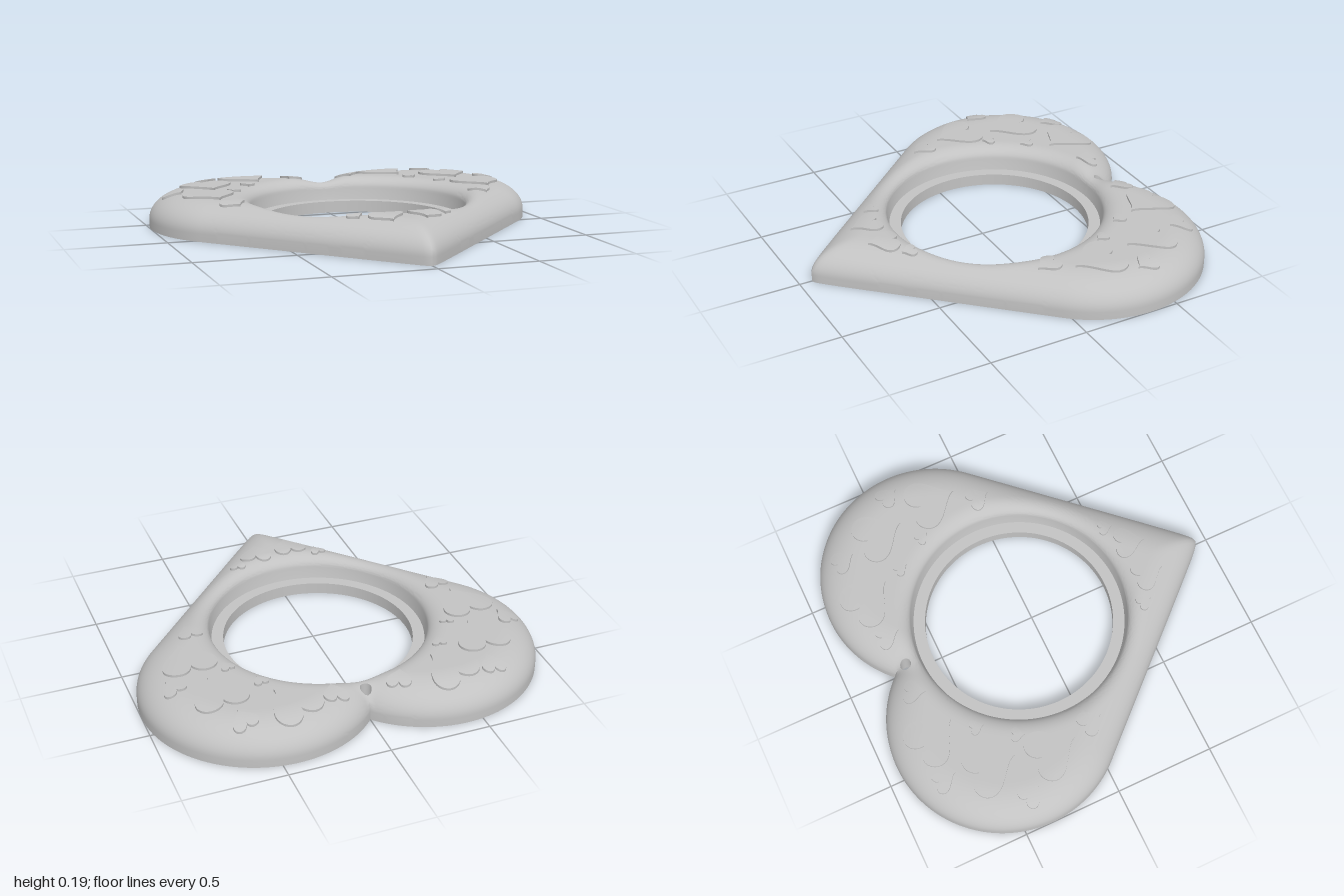
import * as THREE from 'three';
import { toCreasedNormals } from 'three/addons/utils/BufferGeometryUtils.js';

const LOBE = { x: 0.422, z: -0.357, r: 0.578 };       // round lobe of the heart, mirrored in x
const TIP_Z = 0.957;                                  // where the straight sides would meet
const RING = { z: -0.07, inner: 0.475, seat: 0.533, outer: 0.545, ledge: 0.06 };
const EYELET = { z: -0.69, r: 0.028 };
const SEGMENTS = 360, ROWS = 32;

// Straight side: tangent from the tip to the lobe
const tipDX = -LOBE.x, tipDZ = TIP_Z - LOBE.z;
const TANGENT = Math.atan2(tipDZ, tipDX) - Math.acos(LOBE.r / Math.hypot(tipDX, tipDZ));
const NOTCH_Z = LOBE.z - Math.sqrt(LOBE.r ** 2 - LOBE.x ** 2);
const NOTCH = Math.atan2(NOTCH_Z - LOBE.z, -LOBE.x);

// Distance from a point to the heart outline, positive inside
function edgeDistance(px, z) {
  const x = Math.abs(px), soft = Math.hypot(x, 0.02);
  const side = -(soft * Math.cos(TANGENT) + (z - TIP_Z) * Math.sin(TANGENT));
  const a = Math.atan2(z - LOBE.z, x - LOBE.x);
  const round = a >= NOTCH && a <= TANGENT
    ? LOBE.r - Math.hypot(x - LOBE.x, z - LOBE.z)
    : Math.hypot(x, z - NOTCH_Z);
  return Math.min(side, round);
}

// Quarter-round rise from 0 to 1
const puff = t => Math.sqrt(1 - (1 - THREE.MathUtils.clamp(t, 0, 1)) ** 2);

// Puffy top surface, rounded at the outline and towards the ring
function height(x, z) {
  const fromRing = Math.hypot(x, z - RING.z) - RING.outer;
  return 0.04 + 0.137 * puff(edgeDistance(x, z) / 0.2) - 0.06 * (1 - puff(fromRing / 0.09));
}

// Outline radius seen from the centre of the ring
function outlineRadius(a) {
  let lo = 0.5, hi = 1.3;
  for (let i = 0; i < 40; i++) {
    const m = (lo + hi) / 2;
    if (edgeDistance(m * Math.cos(a), RING.z + m * Math.sin(a)) > 0) lo = m; else hi = m;
  }
  return lo;
}

function gridGeometry(positions, index) {
  const g = new THREE.BufferGeometry();
  g.setAttribute('position', new THREE.Float32BufferAttribute(positions, 3));
  g.setIndex(index);
  return g;
}

// Ring seat, puffy top and outer wall, swept around the ring centre
function bodyGeometry(radii) {
  const pos = [], index = [], inEyelet = [];
  const rowCount = ROWS + 5;
  for (let j = 0; j < rowCount; j++) {
    for (let i = 0; i < SEGMENTS; i++) {
      const a = i / SEGMENTS * Math.PI * 2;
      const t = (1 - Math.cos(Math.PI * (j - 3) / ROWS)) / 2;
      const onTop = j >= 3 && j <= ROWS + 3;
      const r = j < 2 ? RING.inner : j === 2 ? RING.seat
        : onTop ? RING.outer + (radii[i] - RING.outer) * t : radii[i];
      let x = r * Math.cos(a), z = RING.z + r * Math.sin(a);
      // push points inside the eyelet out to its edge
      const dx = x, dz = z - EYELET.z, d = Math.hypot(dx, dz);
      const inside = onTop && d < EYELET.r;
      if (inside) {
        const k = EYELET.r / Math.max(d, 1e-6);
        x = dx * k;
        z = EYELET.z + dz * k;
      }
      inEyelet.push(inside);
      const y = onTop ? height(x, z) : j === 1 || j === 2 ? RING.ledge : 0;
      pos.push(x, y, z);
    }
  }
  const add = (a, b, c) => {
    if (!(inEyelet[a] && inEyelet[b] && inEyelet[c])) index.push(a, b, c);
  };
  for (let j = 0; j < rowCount - 1; j++) {
    for (let i = 0; i < SEGMENTS; i++) {
      const n = (i + 1) % SEGMENTS;
      const a = j * SEGMENTS + i, b = j * SEGMENTS + n;
      add(a, b, a + SEGMENTS);
      add(b, b + SEGMENTS, a + SEGMENTS);
    }
  }
  return toCreasedNormals(gridGeometry(pos, index), 0.7);
}

// Flat underside with both openings
function baseGeometry(radii) {
  const shape = new THREE.Shape(radii.map((r, i) => {
    const a = i / SEGMENTS * Math.PI * 2;
    return new THREE.Vector2(r * Math.cos(a), RING.z + r * Math.sin(a));
  }));
  shape.holes.push(
    new THREE.Path().absarc(0, RING.z, RING.inner, 0, Math.PI * 2, true),
    new THREE.Path().absarc(0, EYELET.z, EYELET.r, 0, Math.PI * 2, true));
  return new THREE.ShapeGeometry(shape, 90).rotateX(Math.PI / 2);
}

// Inward-facing wall of the eyelet, cut to the top surface
function eyeletGeometry() {
  const g = new THREE.CylinderGeometry(EYELET.r, EYELET.r, 1, 40, 1, true);
  g.scale(-1, 1, 1).translate(0, 0.5, EYELET.z);
  const p = g.attributes.position;
  for (let i = 0; i < p.count; i++) {
    if (p.getY(i) > 0.5) p.setY(i, height(p.getX(i), p.getZ(i)));
  }
  g.computeVertexNormals();
  return g;
}

// Small raised heart that follows the top surface
function reliefGeometry(cx, cz, size, turn) {
  const n = 56, rings = 5, lift = 0.012, pos = [], index = [];
  const cos = Math.cos(turn), sin = Math.sin(turn);
  for (let j = 0; j <= rings + 1; j++) {
    const k = Math.min(j / rings, 1) * size;
    for (let i = 0; i < n; i++) {
      const t = i / n * Math.PI * 2;
      const u = k * Math.sin(t) ** 3 / 2;
      const v = -k * (13 * Math.cos(t) - 5 * Math.cos(2 * t) - 2 * Math.cos(3 * t) - Math.cos(4 * t)) / 32
        - size * 0.07;
      const x = cx + u * cos + v * sin, z = cz - u * sin + v * cos;
      pos.push(x, height(x, z) + (j > rings ? -0.01 : lift), z);
    }
  }
  for (let j = 0; j <= rings; j++) {
    for (let i = 0; i < n; i++) {
      const a = j * n + i, b = j * n + (i + 1) % n;
      if (j > 0) index.push(a, b, a + n);
      index.push(b, b + n, a + n);
    }
  }
  return toCreasedNormals(gridGeometry(pos, index), 0.6);
}

// x, z, size, turn of each raised heart
const RELIEFS = [
  [-0.41, -0.72, 0.265, 0.36], [0.38, -0.72, 0.265, 0.4],
  [-0.665, -0.53, 0.27, 0.03], [0.675, -0.535, 0.265, 0.1],
  [-0.72, -0.225, 0.265, 0.12], [0.73, -0.22, 0.27, 0.05],
  [-0.62, -0.755, 0.125, 0.05], [0.625, -0.755, 0.125, 0.15],
  [-0.16, -0.71, 0.12, -0.45], [0.165, -0.71, 0.125, 0],
  [-0.455, -0.51, 0.075, -0.1], [0.46, -0.51, 0.075, 0.2],
  [-0.865, -0.41, 0.12, 0.4], [0.855, -0.41, 0.12, 0.35],
  [-0.575, -0.345, 0.072, -0.4], [0.57, -0.345, 0.072, 0.3],
  [-0.665, 0.005, 0.13, 0.25], [0.65, 0.005, 0.125, 0.15],
  [-0.09, 0.605, 0.17, 0], [0.1, 0.595, 0.165, -0.25],
  [-0.22, 0.52, 0.08, 0.15], [0.225, 0.52, 0.08, -0.15],
];

export function createModel() {
  const group = new THREE.Group();
  group.name = 'heartFrame';
  const grey = new THREE.MeshStandardMaterial({ color: 0xc2c2c2 });
  grey.name = 'grey';
  const add = (name, geometry) => {
    const mesh = new THREE.Mesh(geometry, grey);
    mesh.name = name;
    group.add(mesh);
  };
  const radii = Array.from({ length: SEGMENTS }, (_, i) => outlineRadius(i / SEGMENTS * Math.PI * 2));
  add('puffyBody', bodyGeometry(radii));
  add('underside', baseGeometry(radii));
  add('eyeletWall', eyeletGeometry());
  RELIEFS.forEach((r, i) => add(`raisedHeart${i + 1}`, reliefGeometry(...r)));
  return group;
}
